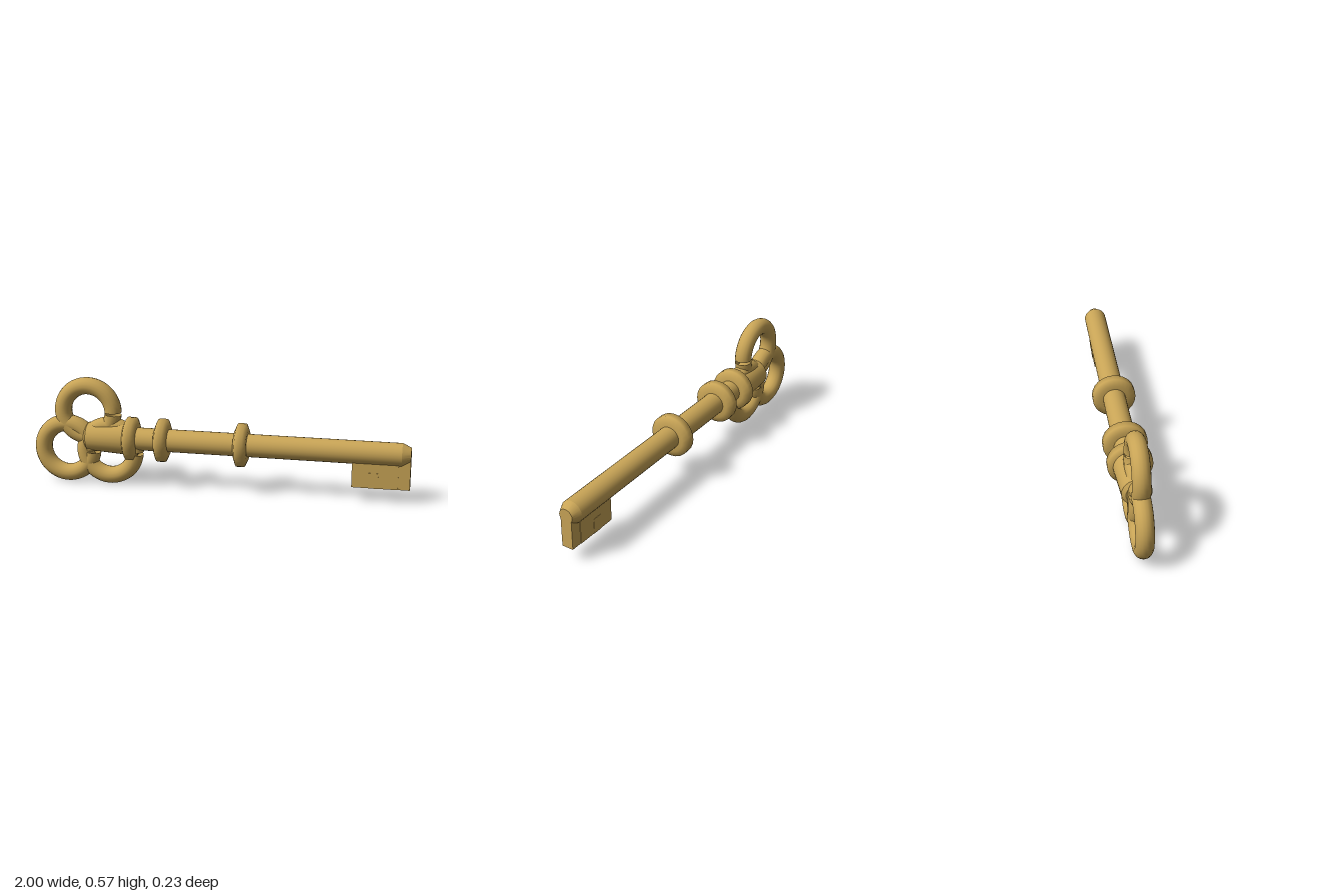
import * as THREE from 'three';
import { toCreasedNormals } from 'three/addons/utils/BufferGeometryUtils.js';

const AXIS_Y = 0.257; // height of the shaft's centre line

export function createModel() {
  const model = new THREE.Group();
  model.name = 'key';
  const brass = new THREE.MeshStandardMaterial({ color: 0xc8a456, side: THREE.DoubleSide });
  brass.name = 'brass';

  const add = (name, geometry, x, y, z = 0) => {
    const mesh = new THREE.Mesh(geometry, brass);
    mesh.name = name;
    mesh.position.set(x, y, z);
    model.add(mesh);
    return mesh;
  };

  // Turned part along x, from [x, radius] pairs in rising x
  const turned = (profile) => {
    const points = profile.map(([x, r]) => new THREE.Vector2(r, x));
    return new THREE.LatheGeometry(points, 24).rotateZ(-Math.PI / 2);
  };

  // Shaft with a tapered tip
  add('shaft', toCreasedNormals(turned([
    [-0.5, 0], [-0.5, 0.06], [0.955, 0.06], [1, 0.038], [1, 0],
  ]), 0.4), 0, AXIS_Y);

  // Barrel where the shaft meets the bow
  add('barrel', toCreasedNormals(turned([
    [-0.715, 0], [-0.715, 0.055], [-0.7, 0.075], [-0.48, 0.088], [-0.48, 0],
  ]), 0.6), 0, AXIS_Y);

  // Three raised collars
  const collar = turned([
    [-0.034, 0.05], [-0.034, 0.082], [-0.02, 0.114], [0.02, 0.114], [0.034, 0.082], [0.034, 0.05],
  ]);
  for (const x of [-0.465, -0.295, 0.128]) add('collar', collar, x, AXIS_Y);

  // Trefoil bow: three rings, each almost closed
  const ring = new THREE.TorusGeometry(0.137, 0.0455, 16, 48, 6.2);
  add('topRing', ring, -0.7, 0.395);
  add('rearRing', ring, -0.8175, 0.186);
  add('frontRing', ring, -0.5825, 0.186);

  // Bit: blocks [x0, x1, y0, y1, half thickness]
  const blocks = [
    [0.705, 0.94, 0.079, 0.23, 0.034],
    [0.79, 0.84, 0.079, 0.16, 0.036],
    [0.94, 1, 0.079, 0.263, 0.031],
  ];
  for (const [x0, x1, y0, y1, h] of blocks) {
    add('bit', new THREE.BoxGeometry(x1 - x0, y1 - y0, h * 2), (x0 + x1) / 2, (y0 + y1) / 2);
  }

  return model;
}
